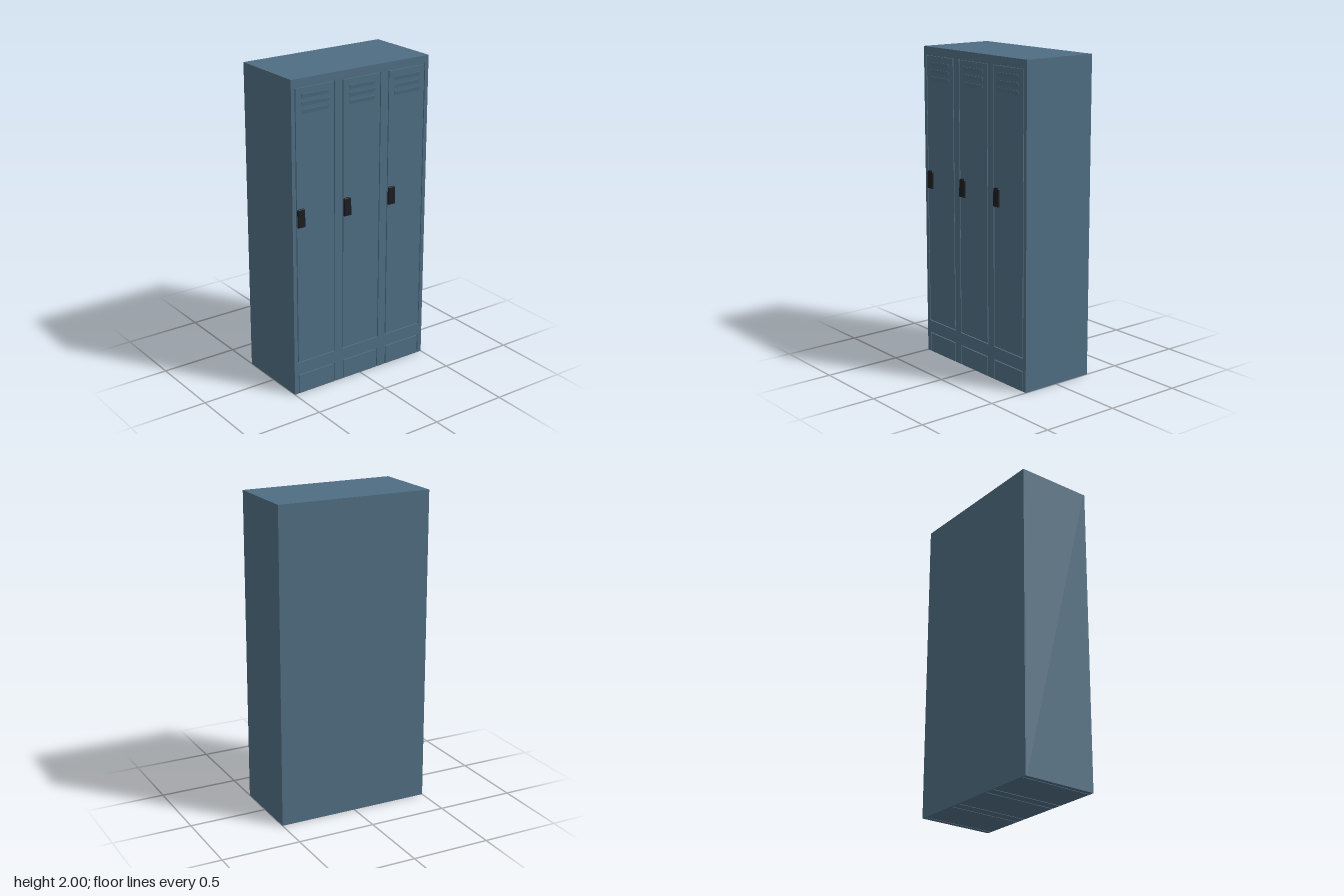
import * as THREE from 'three';

const paint = new THREE.MeshStandardMaterial({ color: 0x4f6d82 });
const black = new THREE.MeshStandardMaterial({ color: 0x1a1d20 });

const BACK = -0.26, FRONT = 0.24, GAP = 0.006;
const bays = [-0.335, 0, 0.335];
const DOOR = { w: 0.28, y0: 0.21, y1: 1.95 };
const BASE = { w: 0.272, h: 0.13 };

function add(parent, name, geometry, material, x = 0, y = 0, z = 0) {
  const mesh = new THREE.Mesh(geometry, material);
  mesh.name = name;
  mesh.position.set(x, y, z);
  parent.add(mesh);
  return mesh;
}

// Cabinet outline with a notch at the foot of each bay
function outline() {
  const s = new THREE.Shape();
  s.moveTo(-0.5, 0);
  for (const x of bays) {
    s.lineTo(x - BASE.w / 2, 0);
    s.lineTo(x - BASE.w / 2, BASE.h);
    s.lineTo(x + BASE.w / 2, BASE.h);
    s.lineTo(x + BASE.w / 2, 0);
  }
  s.lineTo(0.5, 0);
  s.lineTo(0.5, 2);
  s.lineTo(-0.5, 2);
  s.closePath();
  return s;
}

const extrude = (shape, depth) => new THREE.ExtrudeGeometry(shape, { depth, bevelEnabled: false });

// Louvre: proud at its top edge, sloping back into the door
function louvreGeometry() {
  const s = new THREE.Shape();
  s.moveTo(-0.002, 0);
  s.lineTo(-0.002, -0.026);
  s.lineTo(0, -0.026);
  s.lineTo(0.004, -0.002);
  s.lineTo(0.004, 0);
  s.closePath();
  return extrude(s, 0.19).rotateY(-Math.PI / 2).translate(0.095, 0, 0);
}

// Handle: rounded plate with bevelled rim, leaning back at the top
function handleGeometry() {
  const w = 0.021, h = 0.053, r = 0.007;
  const s = new THREE.Shape();
  s.absarc(w - r, h - r, r, 0, Math.PI / 2);
  s.absarc(r - w, h - r, r, Math.PI / 2, Math.PI);
  s.lineTo(-w, -h);
  s.lineTo(w, -h);
  s.closePath();
  const g = new THREE.ExtrudeGeometry(s, {
    depth: 0.01, bevelThickness: 0.005, bevelSize: 0.004, bevelSegments: 2, curveSegments: 4,
  });
  const p = g.attributes.position;
  for (let i = 0; i < p.count; i++) {
    const lean = Math.max(0, (p.getY(i) - 0.02) / 0.037);
    if (p.getZ(i) > 0.005) p.setZ(i, p.getZ(i) - 0.006 * lean);
  }
  g.computeVertexNormals();
  return g;
}

export function createModel() {
  const model = new THREE.Group();
  model.name = 'lockerCabinet';

  // Carcass: back plate, solid core and front frame with door openings
  add(model, 'backPlate', new THREE.BoxGeometry(1, 2, 0.01), paint, 0, 1, BACK + 0.005);
  add(model, 'cabinetBody', extrude(outline(), 0.48), paint, 0, 0, BACK + 0.01);
  const frame = outline();
  for (const x of bays) {
    const a = x - DOOR.w / 2, b = x + DOOR.w / 2;
    frame.holes.push(new THREE.Path([
      new THREE.Vector2(a, DOOR.y0), new THREE.Vector2(a, DOOR.y1),
      new THREE.Vector2(b, DOOR.y1), new THREE.Vector2(b, DOOR.y0),
    ]));
  }
  add(model, 'frontFrame', extrude(frame, 0.01), paint, 0, 0, FRONT - 0.01);

  const doorW = DOOR.w - 2 * GAP, doorH = DOOR.y1 - DOOR.y0 - 2 * GAP;
  const doorGeo = new THREE.BoxGeometry(doorW, doorH, 0.01);
  const baseGeo = new THREE.BoxGeometry(BASE.w - 2 * GAP, BASE.h - GAP, FRONT - BACK - 0.01);
  const louvreGeo = louvreGeometry();
  const handleGeo = handleGeometry();

  bays.forEach((x, i) => {
    const bay = new THREE.Group();
    bay.name = `locker${i + 1}`;
    bay.position.x = x;
    model.add(bay);
    add(bay, 'door', doorGeo, paint, 0, (DOOR.y0 + DOOR.y1) / 2, FRONT - 0.005);
    add(bay, 'basePanel', baseGeo, paint, 0, (BASE.h - GAP) / 2, (BACK + FRONT + 0.01) / 2);
    for (const y of [1.907, 1.861, 1.815]) add(bay, 'louvre', louvreGeo, paint, 0, y, FRONT);
    add(bay, 'handle', handleGeo, black, -0.107, 1.158, FRONT);
  });

  return model;
}
